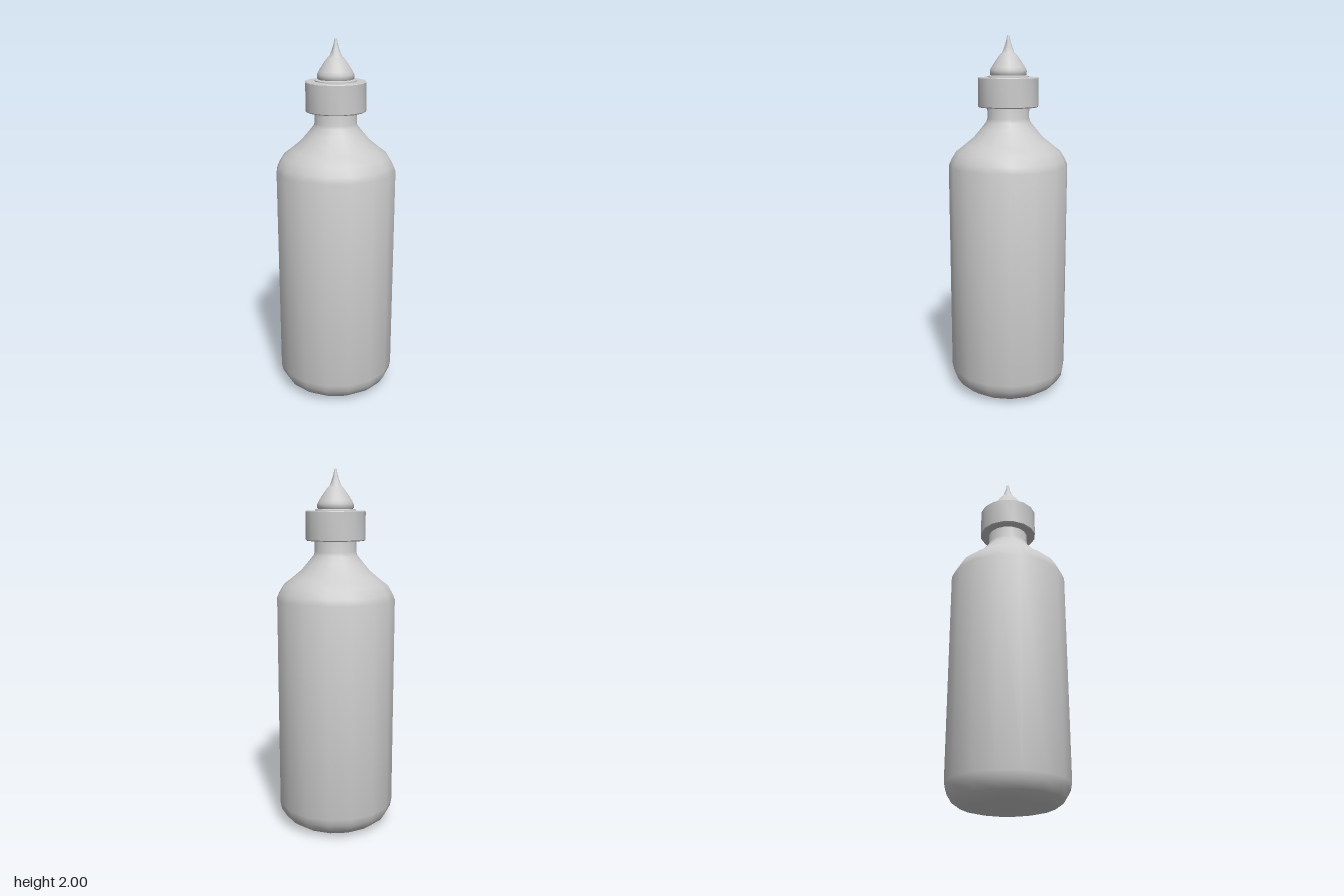
import * as THREE from 'three';
import { toCreasedNormals } from 'three/addons/utils/BufferGeometryUtils.js';

const SIDES = 16;

// Turned part from [radius, height] pairs, listed from bottom to top on the outside
function turned(name, profile, crease = 0.75) {
  const points = profile.map(([r, y]) => new THREE.Vector2(r, y));
  const geometry = toCreasedNormals(new THREE.LatheGeometry(points, SIDES), crease);
  const material = new THREE.MeshStandardMaterial({ color: 0xcccccc });
  const mesh = new THREE.Mesh(geometry, material);
  mesh.name = name;
  return mesh;
}

export function createModel() {
  const group = new THREE.Group();
  group.name = 'squeezeBottle';

  // Body with rounded base, sloping shoulder and neck
  group.add(turned('bottleBody', [
    [0, 0], [0.21, 0], [0.25, 0.01], [0.295, 0.042], [0.322, 0.085], [0.33, 0.125],
    [0.33, 1.3], [0.317, 1.333], [0.288, 1.38], [0.24, 1.417], [0.19, 1.458],
    [0.15, 1.505], [0.122, 1.54], [0.115, 1.56], [0.115, 1.7],
  ]));

  // Screw collar with slightly eased edges
  group.add(turned('collar', [
    [0.11, 1.62], [0.161, 1.62], [0.165, 1.625], [0.165, 1.775], [0.161, 1.78], [0, 1.78],
  ], 0.6));

  // Thin flange under the nozzle
  group.add(turned('nozzleFlange', [[0.113, 1.775], [0.113, 1.785], [0.1, 1.79], [0, 1.79]], 0.6));

  // Tapered nozzle with a concave tip
  group.add(turned('nozzle', [
    [0.092, 1.785], [0.1, 1.795], [0.1, 1.815], [0.091, 1.833], [0.067, 1.87],
    [0.043, 1.902], [0.034, 1.908], [0.022, 1.938], [0.012, 1.968], [0.007, 1.995],
    [0.005, 2], [0, 2],
  ], 0.9));

  return group;
}
